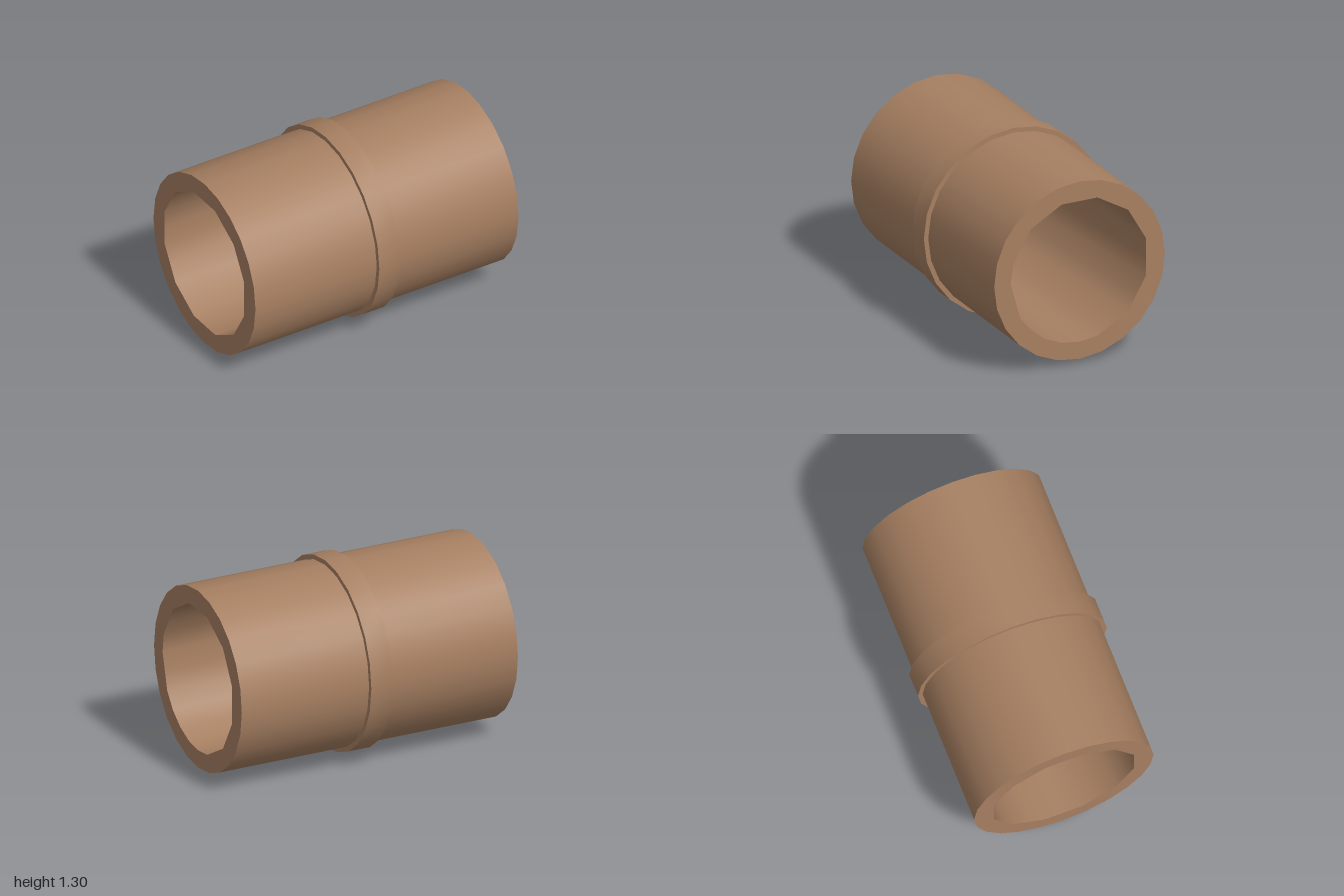
import * as THREE from 'three';

const SIDES = 24, STEP = Math.PI * 2 / SIDES;
const CENTRE_Y = 0.652, OUTER = 0.62, COLLAR = 0.652, BORE = 0.5, COLLAR_HALF = 0.078;

// One cross-section around the x axis, starting at +z and turning towards +y
function ring(x, radiusAt) {
  return Array.from({ length: SIDES }, (_, k) => {
    const r = radiusAt(k), a = k * STEP;
    return [x, r * Math.sin(a), r * Math.cos(a)];
  });
}
const circle = (x, r) => ring(x, () => r);

// Closed band of quads between two cross-sections, smooth around the axis
function band(from, to) {
  const index = [];
  for (let i = 0; i < SIDES; i++) {
    const j = (i + 1) % SIDES;
    index.push(i, SIDES + i, SIDES + j, i, SIDES + j, j);
  }
  const geometry = new THREE.BufferGeometry();
  geometry.setAttribute('position', new THREE.Float32BufferAttribute([...from, ...to].flat(), 3));
  geometry.setIndex(index);
  geometry.computeVertexNormals();
  return geometry;
}

export function createModel() {
  const model = new THREE.Group();
  model.name = 'pipeCoupling';
  const clay = new THREE.MeshStandardMaterial({ color: 0xa67f61 });
  clay.name = 'clay brown';

  const body = new THREE.Group();
  body.name = 'pipeBody';
  const collar = new THREE.Group();
  collar.name = 'collar';
  for (const part of [body, collar]) {
    part.position.y = CENTRE_Y;
    model.add(part);
  }
  const add = (parent, name, from, to) => {
    const mesh = new THREE.Mesh(band(from, to), clay);
    mesh.name = name;
    parent.add(mesh);
  };

  // Bore mouths: twelve-sided on the right, with extra corners low on the left
  const flat = BORE * Math.cos(STEP);
  const extraCorners = [0, 22, 20, 18];
  const rightBore = ring(-1, k => (k % 2 ? BORE : flat));
  const leftBore = ring(1, k => {
    if (k === 23) return flat;
    return k % 2 || extraCorners.includes(k) ? BORE : flat;
  });

  // Pipe wall
  add(body, 'rightEnd', rightBore, circle(-1, OUTER));
  add(body, 'outerWall', circle(-1, OUTER), circle(1, OUTER));
  add(body, 'leftEnd', circle(1, OUTER), leftBore);
  add(body, 'bore', leftBore, rightBore);

  // Raised band around the middle
  const h = COLLAR_HALF;
  add(collar, 'collarRightFace', circle(-h, OUTER), circle(-h, COLLAR));
  add(collar, 'collarRim', circle(-h, COLLAR), circle(h, COLLAR));
  add(collar, 'collarLeftFace', circle(h, COLLAR), circle(h, OUTER));

  return model;
}
